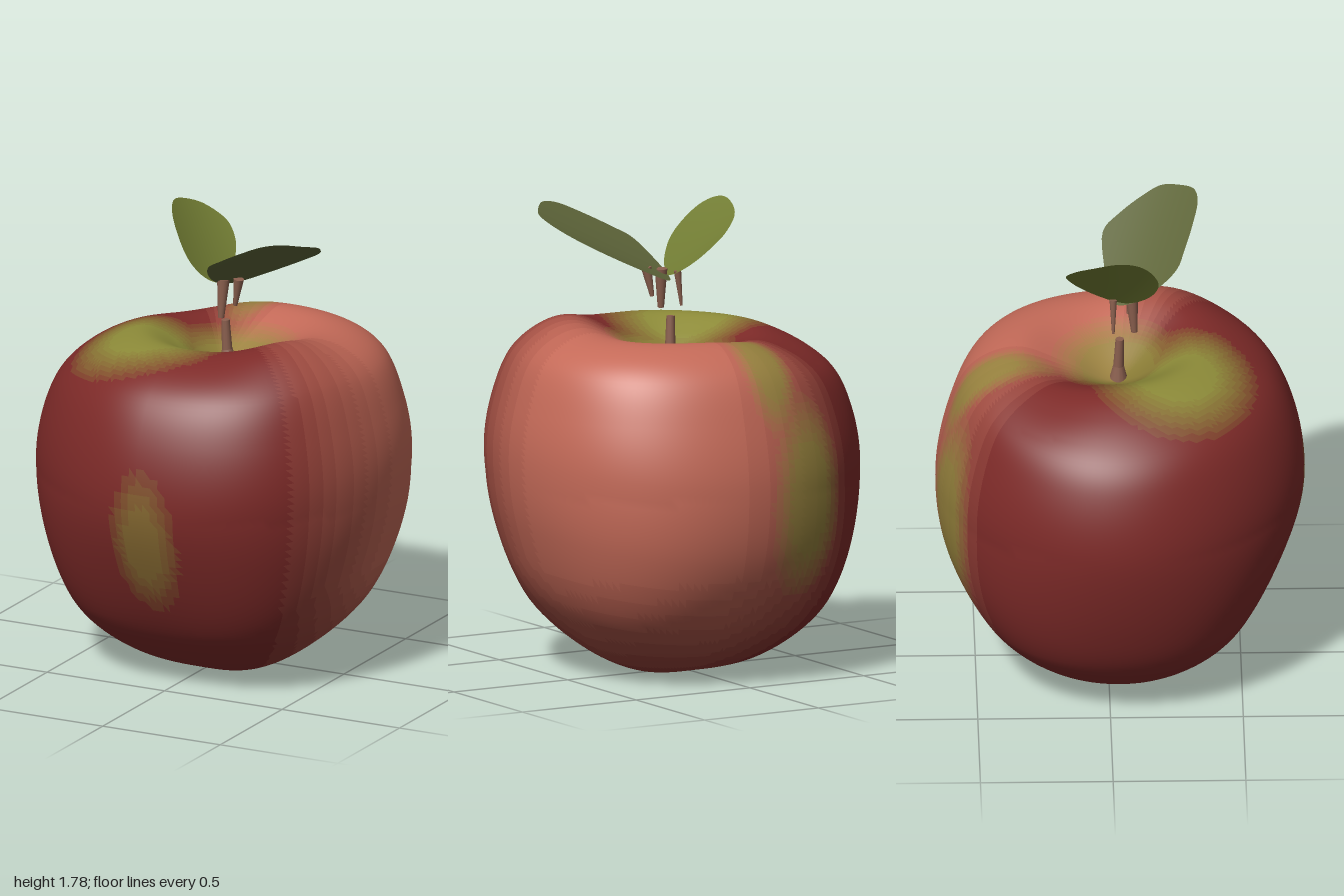
import * as THREE from 'three';
import { ParametricGeometry } from 'three/addons/geometries/ParametricGeometry.js';

const AXIS_Z = 0.04;
const clamp01 = (v) => Math.min(1, Math.max(0, v));

// Half profiles [radius, height] from the base dimple to the stem dimple
const PROFILES = {
  left: [[0, .04], [.06, .025], [.15, .003], [.31, .065], [.53, .27], [.665, .59], [.7, .85],
    [.675, 1.04], [.61, 1.21], [.52, 1.28], [.39, 1.305], [.21, 1.25], [.08, 1.195], [0, 1.17]],
  right: [[0, .04], [.07, .025], [.16, .015], [.32, .05], [.52, .2], [.635, .42], [.71, .77],
    [.67, 1.01], [.6, 1.14], [.45, 1.255], [.3, 1.305], [.17, 1.26], [.07, 1.2], [0, 1.17]],
  front: [[0, .04], [.06, .025], [.14, .012], [.28, .07], [.46, .21], [.625, .5], [.7, .77],
    [.665, 1.04], [.58, 1.2], [.44, 1.285], [.3, 1.305], [.17, 1.25], [.07, 1.195], [0, 1.17]],
  back: [[0, .04], [.06, .025], [.14, .012], [.28, .06], [.49, .22], [.65, .5], [.69, .79],
    [.645, 1.03], [.57, 1.2], [.47, 1.28], [.36, 1.305], [.19, 1.245], [.07, 1.19], [0, 1.17]],
};
const CURVES = Object.fromEntries(Object.entries(PROFILES).map(([name, pts]) =>
  [name, new THREE.CatmullRomCurve3(pts.map(([r, y]) => new THREE.Vector3(r, y, 0)))]));

// Soft round bump in plan
const bump = (p, x, z, spread) => Math.exp(-((p.x - x) ** 2 + (p.z - z) ** 2) / spread);

// Skin surface: the four profiles blended around the axis
function skinPoint(u, v, target) {
  const a = -u * Math.PI * 2, c = Math.cos(a), s = Math.sin(a);
  const t = 0.002 + v * 0.996;
  const px = (c > 0 ? CURVES.left : CURVES.right).getPoint(t);
  const pz = (s > 0 ? CURVES.front : CURVES.back).getPoint(t);
  const p = px.multiplyScalar(c * c).addScaledVector(pz, s * s);
  // Squarer diagonals on the left and towards the base, slimmer on the upper right
  const low = clamp01((0.75 - p.y) / 0.5);
  const fullness = c > 0 ? 0.04 + 0.05 * low : -0.022 + 0.07 * low;
  const r = p.x * (1 + fullness * Math.sin(2 * a) ** 2);
  target.set(r * c, p.y, AXIS_Z + r * s);
  // Rim raised at the front left and lowered at the back right
  const lift = 0.045 * bump(target, 0.38, 0.23, 0.035) - 0.035 * bump(target, -0.26, -0.24, 0.05);
  target.y += lift * clamp01((p.y - 0.9) / 0.3);
}

// Green areas: centre, size along each axis, strength
const GREEN = [
  [[-.18, 1.3, .25], [.36, .3, .33], 1],
  [[.05, 1.2, .04], [.3, .18, .28], .8],
  [[.02, .63, .72], [.15, .33, .3], .5],
  [[-.2, .72, -.62], [.19, .45, .25], .8],
  [[-.07, 1.2, -.46], [.12, .3, .3], .8],
];

// Splits the skin into bands of tone that share one smooth surface
function makeSkin() {
  const group = new THREE.Group();
  group.name = 'appleSkin';
  const geo = new ParametricGeometry(skinPoint, 144, 110);
  const pos = geo.attributes.position, idx = geo.index.array;
  const bands = new Map(), p = new THREE.Vector3(), q = new THREE.Vector3();
  const LEVELS = 8;
  for (let i = 0; i < idx.length; i += 3) {
    p.set(0, 0, 0);
    for (let k = 0; k < 3; k++) p.add(q.fromBufferAttribute(pos, idx[i + k]));
    p.divideScalar(3);
    // Pale blush faces the left and back
    const facing = Math.cos(Math.atan2(p.z - AXIS_Z, p.x) + 0.75);
    const blush = clamp01((facing - 0.05) * 1.3) * clamp01(p.y * 2 + 0.1);
    let green = 0;
    for (const [c, s, k] of GREEN) {
      const d = Math.hypot((p.x - c[0]) / s[0], (p.y - c[1]) / s[1], (p.z - c[2]) / s[2]);
      green = Math.max(green, k * clamp01((1 - d) * 1.8));
    }
    const key = Math.round(blush * LEVELS) * 10 + Math.round(green * LEVELS);
    if (!bands.has(key)) bands.set(key, []);
    bands.get(key).push(idx[i], idx[i + 1], idx[i + 2]);
  }
  for (const [key, faces] of bands) {
    const part = new THREE.BufferGeometry();
    part.setAttribute('position', pos);
    part.setAttribute('normal', geo.attributes.normal);
    part.setIndex(faces);
    const color = new THREE.Color(0x7d2a28)
      .lerp(new THREE.Color(0xc46a58), Math.floor(key / 10) / LEVELS)
      .lerp(new THREE.Color(0x8c8a38), (key % 10) / LEVELS);
    const mesh = new THREE.Mesh(part, new THREE.MeshStandardMaterial({ color }));
    mesh.name = 'skinTone';
    group.add(mesh);
  }
  return group;
}

// Leaf: a closed outline in plan, filled towards its centre, lifted by a height rule
function makeLeaf(name, outline, height, color) {
  const edge = new THREE.CatmullRomCurve3(outline.map(([x, z]) => new THREE.Vector3(x, 0, z)), true);
  const mid = new THREE.Vector3();
  outline.forEach(([x, z]) => mid.add(new THREE.Vector3(x, 0, z)));
  mid.divideScalar(outline.length);
  const geo = new ParametricGeometry((u, v, target) => {
    target.copy(mid).lerp(edge.getPoint(u % 1), 0.002 + v * 0.998);
    target.y = height(target.x, target.z);
  }, 72, 10);
  const mesh = new THREE.Mesh(geo, new THREE.MeshStandardMaterial({ color, side: THREE.DoubleSide }));
  mesh.name = name;
  return mesh;
}

// Tapered twig between two points
function makeTwig(name, from, to, r0, r1) {
  const a = new THREE.Vector3(...from), b = new THREE.Vector3(...to);
  const dir = b.clone().sub(a);
  const mesh = new THREE.Mesh(
    new THREE.CylinderGeometry(r1, r0, dir.length(), 12),
    new THREE.MeshStandardMaterial({ color: 0x8a5f4e }));
  mesh.position.copy(a).add(b).multiplyScalar(0.5);
  mesh.quaternion.setFromUnitVectors(new THREE.Vector3(0, 1, 0), dir.normalize());
  mesh.name = name;
  return mesh;
}

export function createModel() {
  const model = new THREE.Group();
  model.name = 'apple';
  model.add(makeSkin());

  // Short stem in the dimple, flared at its foot
  model.add(makeTwig('stemFoot', [.03, 1.15, .04], [.025, 1.23, .04], .04, .02));
  model.add(makeTwig('stem', [.025, 1.22, .04], [.02, 1.345, .045], .02, .016));

  // Leaf stalks tapering downwards
  model.add(makeTwig('leafStalk', [.03, 1.37, .1], [.035, 1.52, .09], .012, .024));
  model.add(makeTwig('leafStalk', [-.012, 1.385, .02], [.005, 1.52, .02], .005, .014));
  model.add(makeTwig('leafStalk', [.08, 1.42, .08], [.1, 1.53, .09], .008, .02));

  // Large leaf, rising to the left and front, its middle fold sagging
  model.add(makeLeaf('largeLeaf',
    [[.01, .09], [.03, .03], [.07, 0], [.2, -.01], [.36, -.01], [.42, .05], [.47, .13], [.495, .21],
      [.46, .28], [.41, .33], [.34, .345], [.24, .325], [.13, .29], [.06, .26], [.02, .18]],
    (x, z) => 1.46 + .4 * x + .41 * z + .8 * (z - .06 - .32 * x) ** 2, 0x5f663a));

  // Small leaf, steeper, leaning right, slightly cupped and twisted
  model.add(makeLeaf('smallLeaf',
    [[.02, .05], [.01, .1], [-.03, .17], [-.07, .19], [-.15, .14], [-.2, .05], [-.2, -.03],
      [-.16, -.12], [-.08, -.16], [-.03, -.13], [0, -.07]],
    (x, z) => 1.535 - 1.2 * x - .2 * z - 1.8 * x * z + .7 * (z - .03) ** 2, 0x737e34));
  return model;
}
